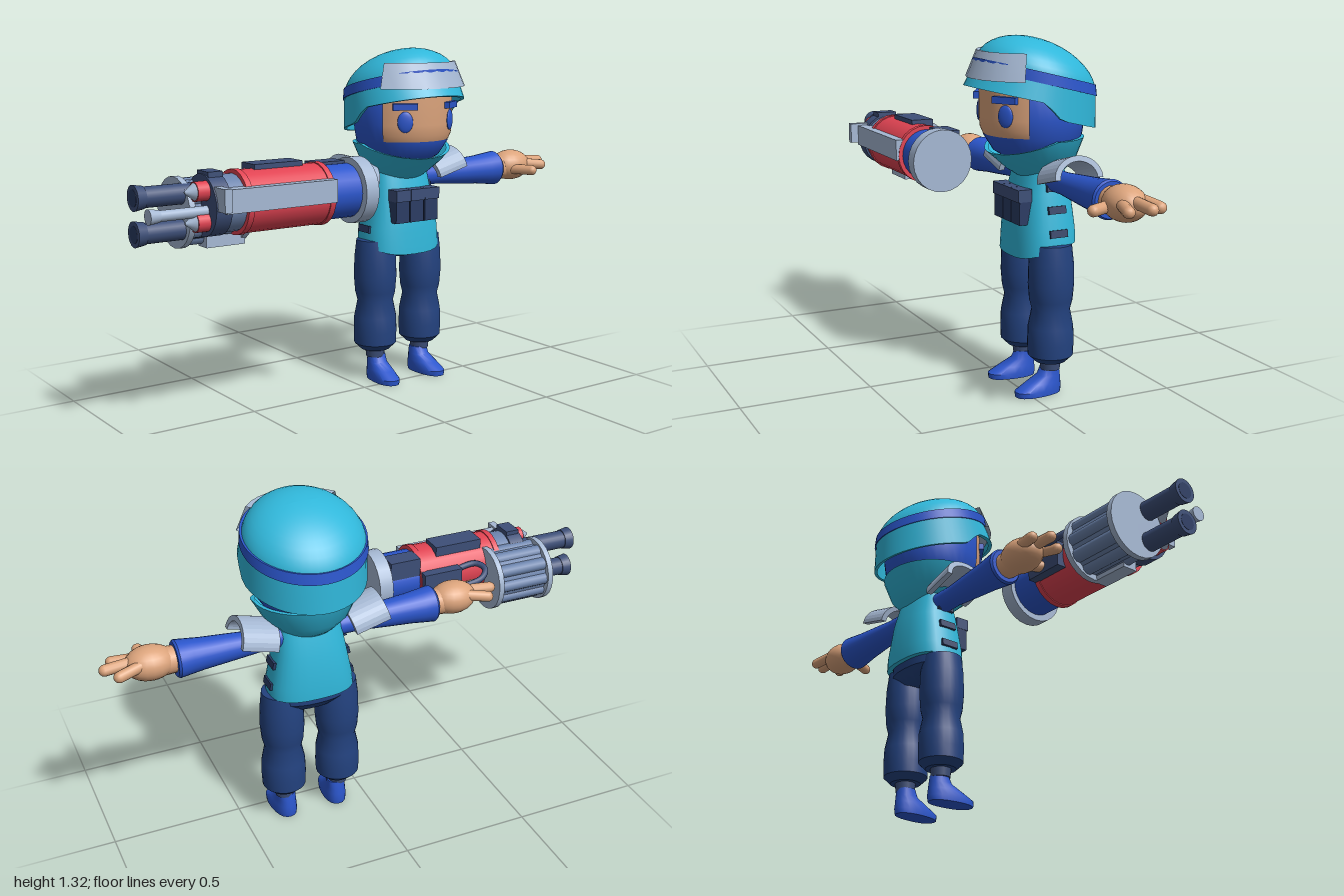
import * as THREE from 'three';
import { toCreasedNormals } from 'three/addons/utils/BufferGeometryUtils.js';

const paint = (name, color) => Object.assign(new THREE.MeshStandardMaterial({ color }), { name });

// Closed loops stacked upwards; row = [y, half width, back z, front z]
function loft(rows, power = 1, tweak = (p) => p, n = 32) {
  const pos = [], idx = [];
  const pw = (v) => Math.sign(v) * Math.abs(v) ** power;
  rows.forEach(([y, w, z0, z1], i) => {
    for (let k = 0; k < n; k++) {
      const a = (k / n) * Math.PI * 2;
      const p = { x: w * pw(Math.sin(a)), y, z: (z0 + z1) / 2 + ((z1 - z0) / 2) * pw(Math.cos(a)) };
      tweak(p, a, i);
      pos.push(p.x, p.y, p.z);
      if (i < rows.length - 1) {
        const A = i * n + k, B = i * n + ((k + 1) % n);
        idx.push(A, B, A + n, B, B + n, A + n);
      }
    }
  });
  const g = new THREE.BufferGeometry();
  g.setAttribute('position', new THREE.Float32BufferAttribute(pos, 3));
  g.setIndex(idx);
  return toCreasedNormals(g, 0.7);
}

const lathe = (pts, n = 24, start = 0, len = Math.PI * 2) =>
  toCreasedNormals(new THREE.LatheGeometry(pts.map(([r, y]) => new THREE.Vector2(r, y)), n, start, len), 0.6);

export function createModel() {
  const teal = paint('teal', 0x30b7da), blue = paint('blue', 0x2b56cc), navy = paint('navy', 0x23427f);
  const slate = paint('slate', 0x3d4f78), grey = paint('pale grey', 0xa5b8d3), skin = paint('skin', 0xdca47c);
  const red = paint('red', 0xe04352), steel = paint('steel', 0x6c84ad), dark = paint('dark blue', 0x2a3b63);
  teal.side = grey.side = THREE.DoubleSide;

  const model = new THREE.Group();
  model.name = 'trooper';
  const body = new THREE.Group(), gun = new THREE.Group();
  body.name = 'figure';
  body.position.x = 0.225;
  gun.name = 'heavyGun';
  model.add(body, gun);

  const add = (parent, name, geo, mat, p = [0, 0, 0], r = [0, 0, 0]) => {
    const m = new THREE.Mesh(geo, mat);
    m.name = name;
    m.position.set(...p);
    m.rotation.set(...r);
    parent.add(m);
    return m;
  };
  const box = (parent, name, mat, x0, x1, y0, y1, z0, z1) =>
    add(parent, name, new THREE.BoxGeometry(x1 - x0, y1 - y0, z1 - z0), mat, [(x0 + x1) / 2, (y0 + y1) / 2, (z0 + z1) / 2]);

  // Head, face and collar
  const headZ = -0.065;
  add(body, 'balaclava', lathe([[0, 0.86], [0.09, 0.87], [0.145, 0.905], [0.18, 0.96], [0.19, 1.03], [0.19, 1.14], [0.15, 1.22], [0, 1.25]], 36), blue, [0, 0, headZ]);
  add(body, 'face', lathe([[0.182, 0.967], [0.192, 0.99], [0.196, 1.03], [0.196, 1.15]], 24, -1.03, 2.06), skin, [0, 0, headZ]);
  for (const s of [-1, 1]) {
    const a = s * 0.58;
    const at = (r, y) => [r * Math.sin(a), y, headZ + r * Math.cos(a)];
    add(body, 'eye', new THREE.SphereGeometry(1, 20, 14), blue, at(0.196, 1.045), [0, a, 0]).scale.set(0.03, 0.04, 0.009);
    add(body, 'eyebrow', new THREE.BoxGeometry(0.095, 0.025, 0.022), blue, at(0.2, 1.103), [0, a, 0]);
  }
  add(body, 'collar', loft([[0.81, 0.09, -0.16, -0.01], [0.835, 0.115, -0.19, 0.03], [0.875, 0.16, -0.222, 0.075], [0.955, 0.2, -0.25, 0.125], [0.955, 0.185, -0.235, 0.11]],
    1, (p, a, i) => { if (i > 2) { const f = Math.max(0, Math.cos(a)); p.y -= 0.055 * f; p.z -= 0.02 * f; } }), teal);

  // Helmet: flared skirt, tilted band and dome
  const tilt = (p) => { p.y += 0.25 * (p.z + 0.07); };
  const edge = [[-0.3, 0.975], [-0.06, 1.035], [0, 1.1], [0.2, 1.147]];
  const edgeY = (z) => {
    const i = z < -0.06 ? 0 : z < 0 ? 1 : 2, [a, b] = [edge[i], edge[i + 1]];
    return a[1] + ((b[1] - a[1]) * (z - a[0])) / (b[0] - a[0]);
  };
  add(body, 'helmetSkirt', loft([[1, 0.218, -0.283, 0.172], [1, 0.231, -0.296, 0.19], [1.165, 0.224, -0.292, 0.148]], 1,
    (p, a, i) => { if (i < 2) p.y = edgeY(p.z); else tilt(p); }, 48), teal);
  add(body, 'helmetBand', loft([[1.148, 0.222, -0.288, 0.148], [1.148, 0.23, -0.297, 0.156], [1.188, 0.227, -0.292, 0.152], [1.188, 0.215, -0.28, 0.14]], 1, tilt, 48), blue);
  const dome = [];
  for (let i = 0; i <= 10; i++) {
    const t = (i / 10) * Math.PI / 2, c = Math.cos(t);
    dome.push([1.16 + 0.15 * Math.sin(t), 0.224 * c, -0.07 - 0.222 * c, -0.07 + 0.215 * c]);
  }
  add(body, 'helmetDome', loft(dome, 1, tilt, 48), teal);
  add(body, 'goggles', lathe([[0.2, 1.172], [0.247, 1.172], [0.208, 1.268], [0.16, 1.262]], 8, -0.97, 1.94), grey, [0, 0, -0.068]);

  // Vest with pouches and side slots
  add(body, 'vest', loft([[0.57, 0.145, -0.185, 0.01], [0.57, 0.165, -0.204, 0.03], [0.62, 0.16, -0.204, 0.025], [0.75, 0.135, -0.19, 0.008], [0.84, 0.12, -0.165, -0.015], [0.86, 0, -0.09, -0.09]],
    0.75, (p, a, i) => { if (i < 2) p.y -= 0.055 * Math.max(0, Math.cos(a)) ** 0.7; }), teal);
  for (const x of [-0.07, 0, 0.07]) {
    box(body, 'pouch', dark, x - 0.032, x + 0.032, 0.645, 0.765, -0.01, 0.038);
    box(body, 'pouchFlap', slate, x - 0.034, x + 0.034, 0.73, 0.775, -0.01, 0.045);
  }
  add(body, 'hips', loft([[0.49, 0, -0.087, -0.087], [0.5, 0.1, -0.15, -0.03], [0.54, 0.15, -0.185, 0.005], [0.6, 0.15, -0.185, 0.005]], 0.85), navy);

  for (const s of [-1, 1]) {
    [0.615, 0.7, 0.78].forEach((y, i) =>
      add(body, 'sideSlot', new THREE.BoxGeometry(0.012, 0.028, 0.07), dark, [s * (0.161 - i * 0.0145), y, -0.09], [0, 0, s * 0.18]));

    // Legs
    add(body, 'trouserLeg', lathe([[0, 0.125], [0.058, 0.125], [0.084, 0.15], [0.086, 0.2], [0.084, 0.26], [0.071, 0.325], [0.08, 0.36], [0.085, 0.42], [0.083, 0.5], [0.075, 0.57], [0, 0.58]]), navy, [s * 0.112, 0, -0.087]);
    add(body, 'ankle', new THREE.CylinderGeometry(0.04, 0.036, 0.04, 20), slate, [s * 0.112, 0.112, -0.087]);
    add(body, 'foot', loft([[0, 0, -0.04, -0.04], [0, 0.045, -0.13, 0.055], [0.02, 0.047, -0.133, 0.057], [0.045, 0.042, -0.13, 0.01], [0.07, 0.036, -0.127, -0.04], [0.1, 0.034, -0.122, -0.055], [0.1, 0, -0.09, -0.09]], 0.85, undefined, 20),
      blue, [s * 0.112, 0, 0], [0, s * 0.08, 0]);

    // Arms, shoulder plates and hands
    add(body, 'sleeve', lathe([[0, 0.06], [0.042, 0.06], [0.042, 0.2], [0.052, 0.32], [0.059, 0.41], [0.064, 0.45], [0.07, 0.5], [0.064, 0.508], [0, 0.508]]), blue, [0, 0.805, -0.095], [0, 0, -s * Math.PI / 2]);
    const arch = new THREE.Shape();
    arch.absellipse(0, 0, 0.096, 0.082, 0, Math.PI, false);
    arch.absellipse(0, 0, 0.074, 0.062, Math.PI, 0, true);
    const plate = new THREE.ExtrudeGeometry(arch, { depth: 0.14, bevelEnabled: false, curveSegments: 8 }).translate(0, 0, -0.07).rotateY(Math.PI / 2);
    add(body, 'shoulderPlate', plate, grey, [s * 0.22, 0.82, -0.1], [0, 0, s * 0.26]);

    const hand = new THREE.Group();
    hand.name = 'hand';
    body.add(hand);
    add(hand, 'wrist', new THREE.CylinderGeometry(0.053, 0.048, 0.1, 18), skin, [s * 0.53, 0.806, -0.093], [0, 0, -s * Math.PI / 2]);
    add(hand, 'palm', new THREE.SphereGeometry(1, 20, 14), skin, [s * 0.595, 0.812, -0.092]).scale.set(0.092, 0.063, 0.07);
    const digits = [[0.62, 0.83, -0.125, 0.717, 0.815, -0.15], [0.62, 0.83, -0.09, 0.755, 0.82, -0.095], [0.62, 0.82, -0.06, 0.717, 0.81, -0.032], [0.56, 0.8, -0.06, 0.607, 0.8, 0.032]];
    for (const [x0, y0, z0, x1, y1, z1] of digits) {
      const a = new THREE.Vector3(s * x0, y0, z0), b = new THREE.Vector3(s * x1, y1, z1), d = b.clone().sub(a);
      const f = add(hand, 'finger', new THREE.CapsuleGeometry(0.021, d.length(), 5, 12), skin, a.clone().add(b).multiplyScalar(0.5).toArray());
      f.quaternion.setFromUnitVectors(new THREE.Vector3(0, 1, 0), d.normalize());
    }
  }

  // Gun, laid along x; the first radius is at the muzzle side
  const rod = (name, mat, x0, x1, y, z, r0, r1 = r0, n = 24) =>
    add(gun, name, new THREE.CylinderGeometry(r0, r1, x1 - x0, n), mat, [(x0 + x1) / 2, y, z], [0, 0, Math.PI / 2]);
  const cy = 0.818, cz = 0.137;
  rod('rearCap', grey, -0.175, -0.12, cy, cz + 0.004, 0.122);
  rod('rearSection', blue, -0.31, -0.17, cy, cz, 0.099);
  box(gun, 'rearTopPlate', slate, -0.3, -0.175, 0.84, 0.925, 0.045, 0.12);
  rod('redHousing', red, -0.64, -0.31, cy, cz, 0.111);
  for (const x of [-0.65, -0.32]) rod('housingRim', red, x, x + 0.022, cy, cz, 0.115);
  box(gun, 'topPlate', slate, -0.575, -0.38, 0.9, 0.944, 0.07, 0.16);
  box(gun, 'sidePlate', grey, -0.74, -0.3, 0.8, 0.882, 0.2, 0.262);
  box(gun, 'sideStop', grey, -0.765, -0.737, 0.81, 0.89, 0.2, 0.293);
  rod('frontSection', steel, -0.74, -0.64, cy, cz, 0.1);
  rod('frontCollar', slate, -0.77, -0.71, cy, cz, 0.108);
  box(gun, 'sightBlock', slate, -0.765, -0.71, 0.87, 0.935, 0.1, 0.18);

  // Barrels with flared muzzles
  for (const y of [0.857, 0.735]) {
    rod('barrel', slate, -0.985, -0.7, y, 0.093, 0.036);
    rod('muzzle', slate, -1, -0.965, y, 0.093, 0.045, 0.039);
    rod('bore', dark, -1.001, -0.99, y, 0.093, 0.03);
  }
  rod('smallBarrel', grey, -0.96, -0.75, 0.803, 0.172, 0.019);
  rod('smallMuzzle', grey, -0.985, -0.945, 0.803, 0.172, 0.027, 0.021);
  for (const y of [0.872, 0.767]) {
    rod('rocketBody', red, -0.815, -0.75, y, 0.17, 0.034);
    rod('rocketTip', grey, -0.85, -0.815, y, 0.17, 0.004, 0.03);
  }

  // Ribbed drum behind the barrels
  const dy = 0.785, dz = 0.038;
  rod('drum', steel, -0.82, -0.59, dy, dz, 0.104);
  for (let i = 0; i < 10; i++) {
    const a = (i / 10) * Math.PI * 2;
    rod('drumRib', steel, -0.81, -0.6, dy + 0.092 * Math.sin(a), dz + 0.092 * Math.cos(a), 0.026, 0.026, 10);
  }
  for (const x of [-0.825, -0.605]) rod('drumFlange', grey, x, x + 0.022, dy, dz, 0.125);
  box(gun, 'lowerRail', grey, -0.74, -0.59, 0.662, 0.72, 0.05, 0.11);

  // Grip held by the right hand
  box(gun, 'gripMount', slate, -0.46, -0.3, 0.77, 0.87, 0, 0.06);
  const loop = new THREE.CatmullRomCurve3([[-0.45, 0.85, 0.04], [-0.53, 0.87, 0.02], [-0.55, 0.86, -0.02], [-0.52, 0.84, -0.05], [-0.43, 0.82, -0.05]].map((p) => new THREE.Vector3(...p)));
  add(gun, 'gripLoop', new THREE.TubeGeometry(loop, 20, 0.012, 8), slate);
  return model;
}
